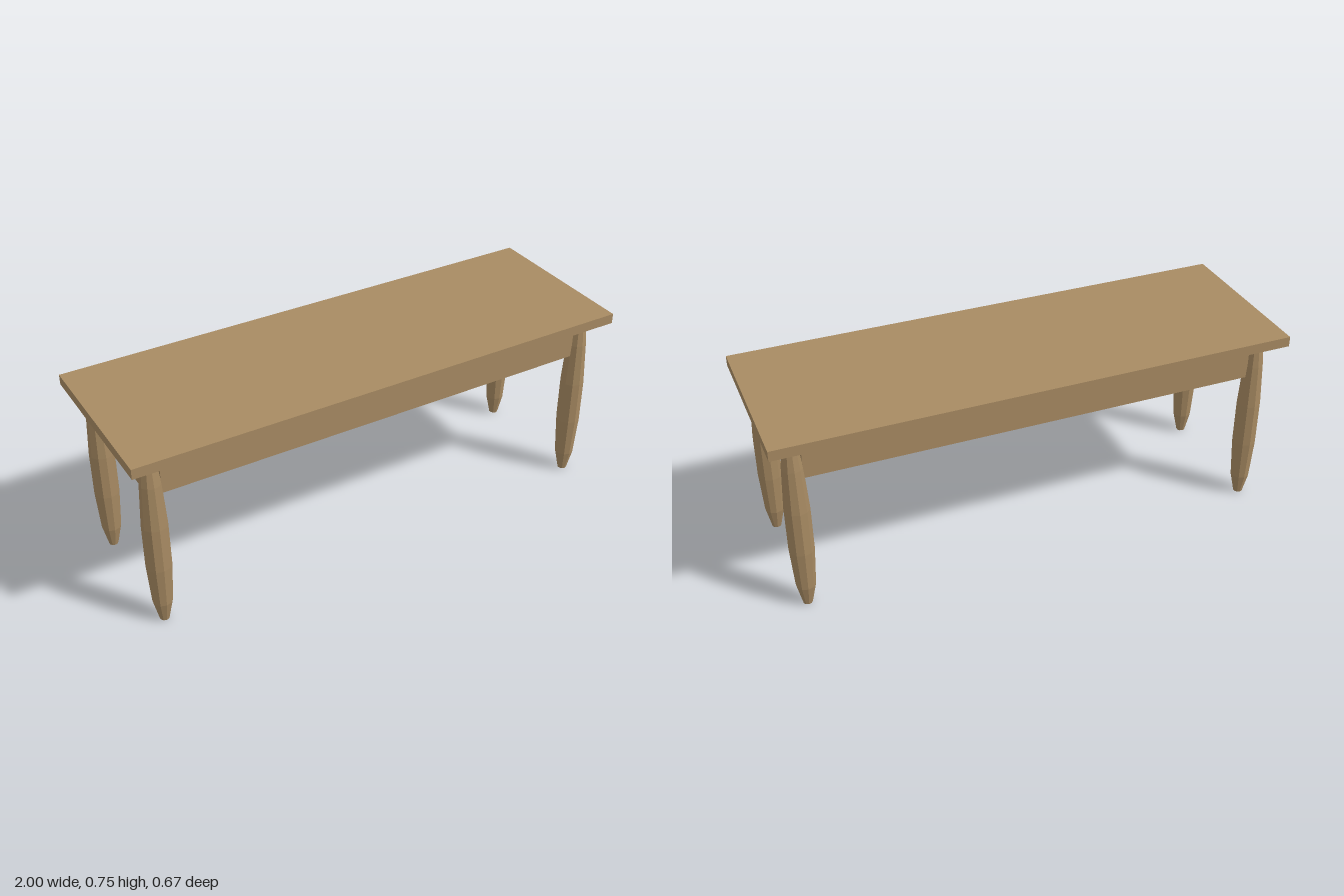
import * as THREE from 'three';

export function createModel() {
  const table = new THREE.Group();
  table.name = 'table';
  const wood = new THREE.MeshStandardMaterial({ color: 0xa88b63 });
  wood.name = 'wood';

  const add = (name, geometry, x, y, z) => {
    const mesh = new THREE.Mesh(geometry, wood);
    mesh.name = name;
    mesh.position.set(x, y, z);
    table.add(mesh);
  };

  const legX = 0.91, legZ = 0.245, apronThickness = 0.027;

  // Top board
  add('tableTop', new THREE.BoxGeometry(2, 0.04, 0.666), 0, 0.73, 0);

  // Ten-sided turned leg, swelling in the middle and closed at both ends
  const profile = [
    [0, 0], [0.018, 0], [0.037, 0.085], [0.047, 0.25],
    [0.047, 0.43], [0.038, 0.605], [0.026, 0.71], [0, 0.71],
  ].map(([r, y]) => new THREE.Vector2(r, y));
  const legGeometry = new THREE.LatheGeometry(profile, 10).toNonIndexed();
  legGeometry.computeVertexNormals(); // faceted sides

  for (const z of [1, -1]) {
    for (const x of [1, -1]) {
      add((z > 0 ? 'front' : 'back') + (x > 0 ? 'Left' : 'Right') + 'Leg', legGeometry, x * legX, 0, z * legZ);
    }
  }

  // Aprons running between the legs
  const longApron = new THREE.BoxGeometry(1.752, 0.15, apronThickness);
  const endApron = new THREE.BoxGeometry(apronThickness, 0.15, 0.416);
  for (const s of [1, -1]) {
    add(s > 0 ? 'frontApron' : 'backApron', longApron, 0, 0.635, s * legZ);
    add(s > 0 ? 'leftApron' : 'rightApron', endApron, s * legX, 0.635, 0);
  }

  return table;
}
